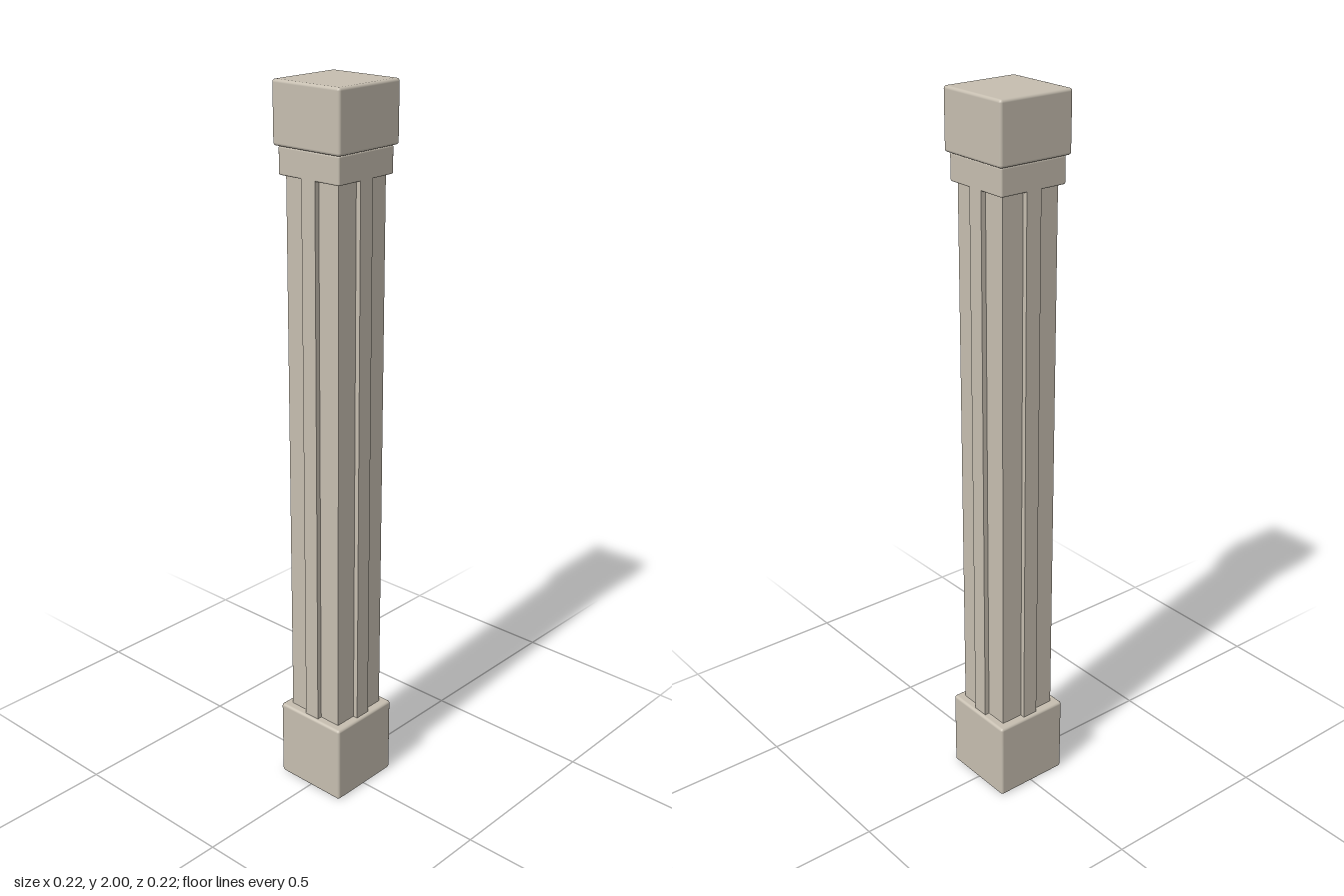
import * as THREE from 'three';
import { RoundedBoxGeometry } from 'three/addons/geometries/RoundedBoxGeometry.js';

export function createModel() {
  const model = new THREE.Group();
  model.name = 'column';
  const stone = new THREE.MeshStandardMaterial({ color: 0xc6beb0 });
  stone.name = 'warm stone';

  // Square block with softened edges, from y0 to y1
  function block(name, half, y0, y1, radius) {
    const mesh = new THREE.Mesh(
      new RoundedBoxGeometry(half * 2, y1 - y0, half * 2, 2, radius), stone);
    mesh.name = name;
    mesh.position.y = (y0 + y1) / 2;
    model.add(mesh);
  }

  block('base', 0.112, 0, 0.23, 0.008);
  block('neckBand', 0.102, 1.765, 1.838, 0.005);
  block('capital', 0.112, 1.838, 2, 0.008);

  // Shaft: a square section with a raised strip down the middle of each side
  const core = 0.088, outer = 0.102, strip = 0.023;
  const side = [[core, -core], [core, -strip], [outer, -strip],
    [outer, strip], [core, strip]];
  const outline = [];
  for (let i = 0; i < 4; i++) {
    const c = Math.round(Math.cos(i * Math.PI / 2));
    const s = Math.round(Math.sin(i * Math.PI / 2));
    for (const [x, y] of side) outline.push(new THREE.Vector2(x * c - y * s, x * s + y * c));
  }
  const shaftGeometry = new THREE.ExtrudeGeometry(new THREE.Shape(outline),
    { depth: 1.57, bevelEnabled: false });
  shaftGeometry.rotateX(-Math.PI / 2);
  const shaft = new THREE.Mesh(shaftGeometry, stone);
  shaft.name = 'shaft';
  shaft.position.y = 0.21;
  model.add(shaft);

  return model;
}
